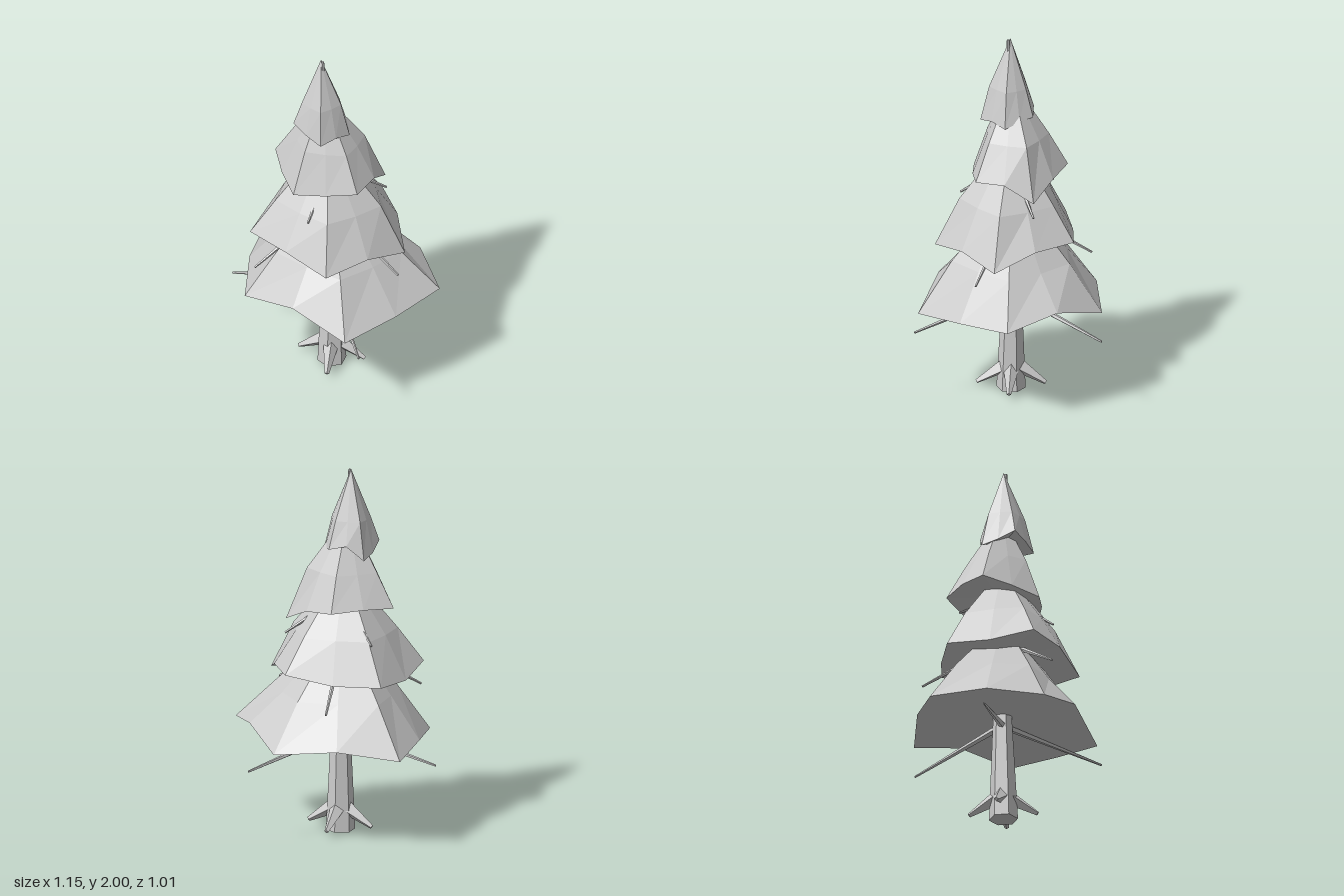
import * as THREE from 'three';

const V = (p) => new THREE.Vector3(...p);

// One skirt of foliage: jagged rim, bulging middle ring, apex and a shallow underside.
// Five corners run from +x towards +z; a notch between each pair is pushed out and lifted.
function tierGeometry({ corners, lifts, scale, midY, apex, centre, underY }) {
  const axis = new THREE.Vector3(centre[0], 0, centre[1]);
  const rim = [];
  corners.forEach((corner, i) => {
    const a = V(corner), b = V(corners[(i + 1) % corners.length]);
    const notch = a.clone().add(b).multiplyScalar(0.5);
    const y = notch.y + lifts[i];
    rim.push(a, notch.sub(axis).multiplyScalar(1.06).add(axis).setY(y));
  });
  const middle = rim.map((p) => p.clone().sub(axis).multiplyScalar(scale).add(axis).setY(midY));
  const top = V(apex);
  const under = axis.clone().setY(underY);
  const points = [];
  for (let i = 0; i < rim.length; i++) {
    const j = (i + 1) % rim.length;
    points.push(rim[i], middle[i], rim[j]);
    points.push(rim[j], middle[i], middle[j]);
    points.push(middle[i], top, middle[j]);
    points.push(rim[i], rim[j], under);
  }
  const geometry = new THREE.BufferGeometry().setFromPoints(points);
  geometry.computeVertexNormals();
  return geometry;
}

// Tapered stick between two points
function stick(from, to, r0, r1, sides, material, name) {
  const a = V(from), b = V(to);
  const dir = b.clone().sub(a);
  const mesh = new THREE.Mesh(new THREE.CylinderGeometry(r1, r0, dir.length(), sides), material);
  mesh.position.copy(a).add(b).multiplyScalar(0.5);
  mesh.quaternion.setFromUnitVectors(new THREE.Vector3(0, 1, 0), dir.normalize());
  mesh.name = name;
  return mesh;
}

export function createModel() {
  const group = new THREE.Group();
  group.name = 'pineTree';
  const grey = new THREE.MeshStandardMaterial({ color: 0xcccccc, flatShading: true });
  grey.name = 'paleGrey';

  const addTier = (name, shape) => {
    const mesh = new THREE.Mesh(tierGeometry(shape), grey);
    mesh.name = name;
    group.add(mesh);
  };

  // Foliage tiers, bottom to top
  addTier('bottomFoliage', {
    corners: [[0.57, 0.57, -0.03], [0.21, 0.5, 0.49], [-0.41, 0.53, 0.3], [-0.5, 0.52, -0.3], [0.15, 0.53, -0.485]],
    lifts: [0.01, 0.09, 0.03, 0.04, 0.07],
    scale: 0.64, midY: 0.78, apex: [-0.03, 1.16, 0.02], centre: [-0.015, 0.015], underY: 0.6,
  });
  addTier('lowerFoliage', {
    corners: [[0.405, 0.84, 0.06], [0.08, 0.85, 0.415], [-0.4, 0.92, 0.24], [-0.36, 0.89, -0.23], [0.15, 0.93, -0.335]],
    lifts: [0.05, 0.03, -0.03, -0.02, 0.04],
    scale: 0.68, midY: 1.11, apex: [-0.04, 1.46, 0.02], centre: [-0.025, 0.02], underY: 0.94,
  });
  addTier('upperFoliage', {
    corners: [[0.235, 1.18, -0.13], [0.18, 1.265, 0.185], [-0.16, 1.22, 0.235], [-0.35, 1.28, -0.04], [-0.09, 1.28, -0.275]],
    lifts: [0.05, 0, 0, 0.01, 0.03],
    scale: 0.65, midY: 1.46, apex: [-0.06, 1.76, 0.02], centre: [-0.05, 0.01], underY: 1.29,
  });
  addTier('topFoliage', {
    corners: [[0.09, 1.54, 0.04], [-0.025, 1.54, 0.185], [-0.2, 1.6, 0.11], [-0.19, 1.53, -0.07], [0, 1.58, -0.1]],
    lifts: [0.02, 0, -0.01, 0.05, 0.01],
    scale: 0.7, midY: 1.73, apex: [-0.072, 2, 0.03], centre: [-0.07, 0.035], underY: 1.6,
  });

  // Six-sided trunk, leaning slightly up to the tip
  const waist = [-0.018, 0.6, 0.015];
  group.add(stick([-0.015, 0, 0.02], waist, 0.078, 0.05, 6, grey, 'lowerTrunk'));
  group.add(stick(waist, [-0.06, 1.995, 0.04], 0.05, 0.008, 6, grey, 'upperTrunk'));

  // Four roots
  for (const [x, z] of [[-0.2, 0.01], [0.165, 0.01], [0.015, 0.2], [-0.015, -0.165]]) {
    const base = [-0.012 + x * 0.2, 0.125, 0.012 + z * 0.2];
    group.add(stick(base, [x, 0.035, z], 0.042, 0.012, 4, grey, 'root'));
  }

  // Three whorls of three bare branches
  const addWhorl = (baseY, tipY, radius, tips) => {
    for (const [x, z] of tips) {
      group.add(stick([-0.025, baseY, 0.018], [x, tipY, z], radius, 0.006, 5, grey, 'branch'));
    }
  };
  addWhorl(0.545, 0.425, 0.02, [[-0.575, 0], [0.29, -0.5], [0.29, 0.5]]);
  addWhorl(1.03, 0.76, 0.018, [[-0.345, 0.33], [-0.115, -0.4], [0.4, 0.16]]);
  addWhorl(1.3, 1.1, 0.016, [[-0.06, 0.295], [-0.28, -0.175], [0.24, -0.13]]);
  return group;
}
